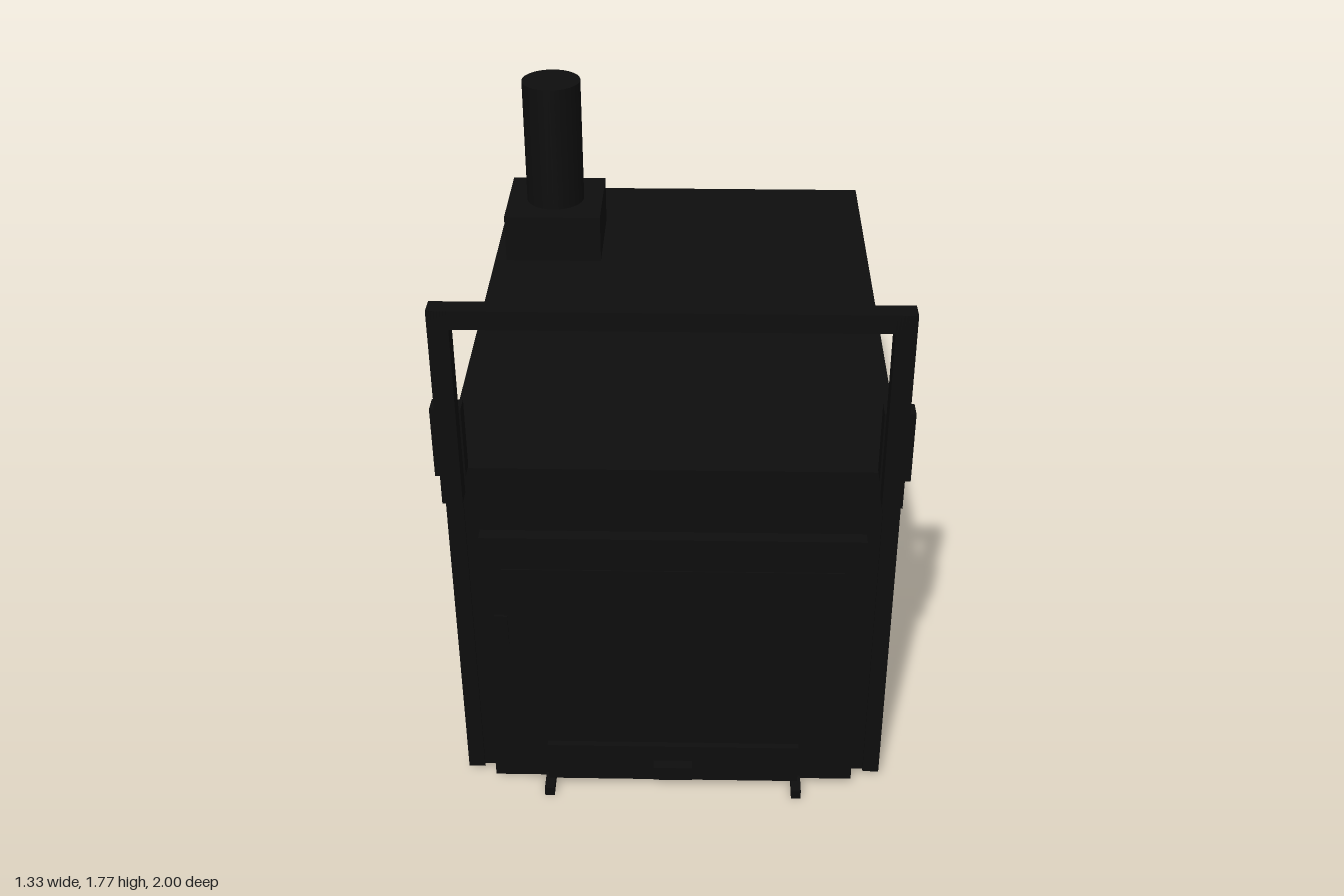
import * as THREE from 'three';

export function createModel() {
  const model = new THREE.Group();
  const iron = new THREE.MeshStandardMaterial({ color: 0x0d0d0d });
  iron.name = 'blackIron';

  const add = (name, geometry, x, y, z) => {
    const mesh = new THREE.Mesh(geometry, iron);
    mesh.name = name;
    mesh.position.set(x, y, z);
    model.add(mesh);
    return mesh;
  };
  // Box given by its lower and upper corners
  const box = (name, x0, x1, y0, y1, z0, z1) =>
    add(name, new THREE.BoxGeometry(x1 - x0, y1 - y0, z1 - z0),
      (x0 + x1) / 2, (y0 + y1) / 2, (z0 + z1) / 2);
  const mirrored = (name, x0, x1, ...rest) => {
    box(name + 'Left', x0, x1, ...rest);
    box(name + 'Right', -x1, -x0, ...rest);
  };

  // Furnace body and overhanging roof
  box('body', -0.635, 0.635, 0.025, 1.12, -0.99, 0.89);
  box('roof', -0.65, 0.65, 1.115, 1.17, -1, 0.905);
  mirrored('cornerPost', 0.6, 0.65, 0.02, 1.115, 0.86, 0.897);

  // Side ribs, each standing on a cross beam
  for (let i = 0; i < 6; i++) {
    const z = 0.757 - i * 0.332;
    mirrored('rib', 0.625, 0.66, 0, 1.115, z - 0.016, z + 0.016);
    box('crossBeam', -0.66, 0.66, 0, 0.03, z - 0.016, z + 0.016);
  }

  // Skids running out at the front
  mirrored('skid', 0.37, 0.4, 0, 0.03, -0.99, 1);

  // Front door with raised panel and latch
  box('door', -0.56, 0.56, 0.02, 0.945, 0.88, 0.931);
  box('doorPanel', -0.5, 0.5, 0.06, 0.835, 0.92, 0.935);
  box('doorLatch', -0.53, -0.49, 0.56, 0.665, 0.92, 0.941);

  // Ash drawer
  box('drawer', -0.39, 0.39, 0.03, 0.168, 0.9, 0.955);
  box('drawerHandle', -0.06, 0.06, 0.06, 0.11, 0.95, 0.988);

  // Door lifting frame and its brackets
  mirrored('framePost', 0.583, 0.64, 1.115, 1.725, 0.945, 1);
  box('frameBar', -0.64, 0.64, 1.67, 1.725, 0.945, 1);
  mirrored('frameBracket', 0.578, 0.664, 1.17, 1.39, 0.892, 0.946);

  // Chimney
  box('chimneyBase', -0.61, -0.28, 1.165, 1.335, -0.722, -0.388);
  add('chimneyPipe', new THREE.CylinderGeometry(0.1, 0.1, 0.44, 32), -0.445, 1.55, -0.553);

  // Gas pipe along the left side with burners and valves
  const pipe = add('gasPipe', new THREE.CylinderGeometry(0.015, 0.015, 1.64, 16), 0.643, 0.675, -0.075);
  pipe.rotation.x = Math.PI / 2;
  for (let i = 0; i < 4; i++) {
    const z = 0.625 - i * 0.445;
    box('burner', 0.63, 0.657, 0.635, 0.66, z - 0.085, z + 0.085);
    add('valveStem', new THREE.CylinderGeometry(0.007, 0.007, 0.1, 10), 0.643, 0.725, z);
    box('valveFoot', 0.63, 0.655, 0.705, 0.725, z - 0.02, z + 0.02);
  }
  box('pipeInlet', 0.635, 0.664, 0.645, 0.69, -0.15, -0.075);

  return model;
}
